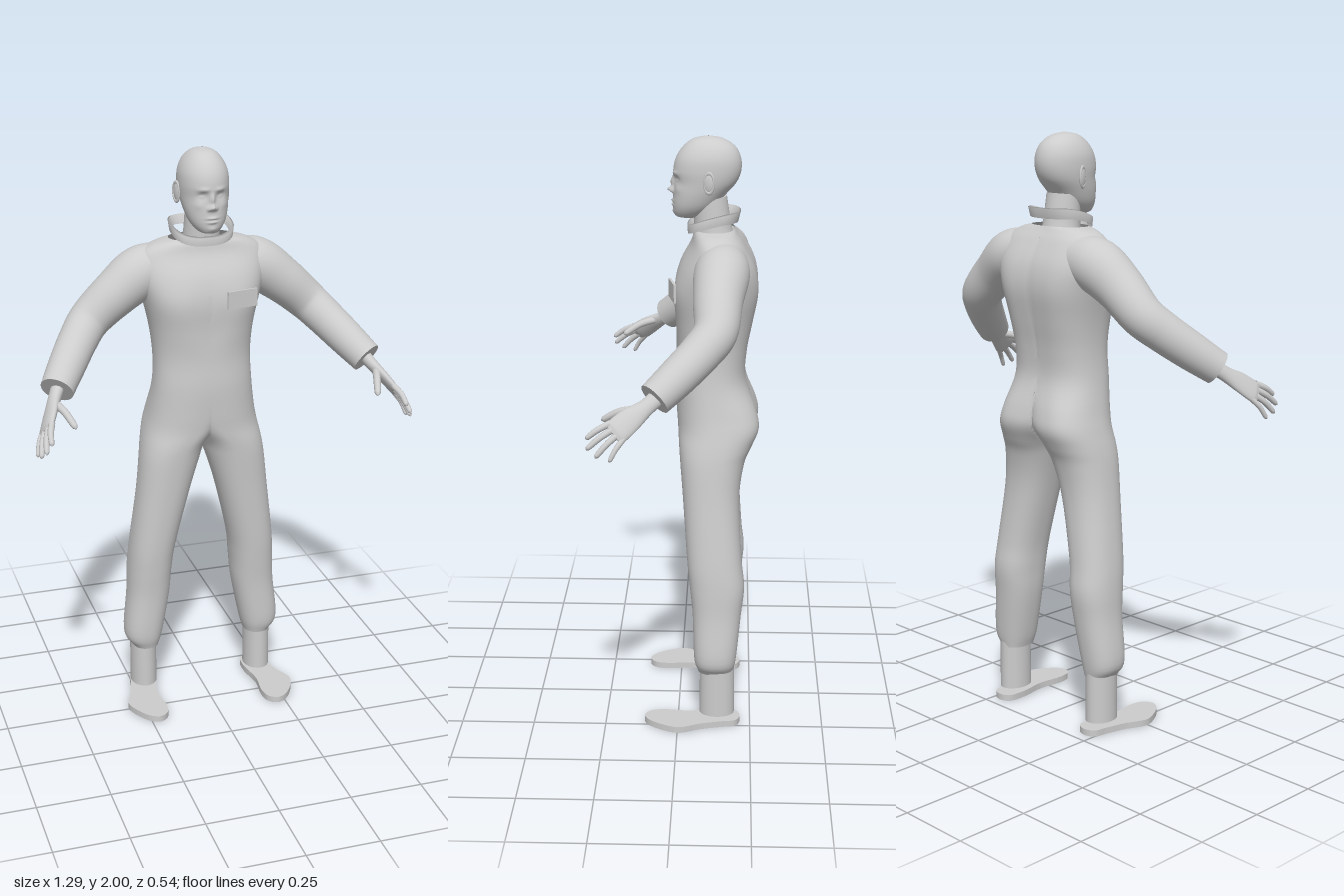
import * as THREE from 'three';

const grey = new THREE.MeshStandardMaterial({ color: 0xcccccc, side: THREE.DoubleSide });
grey.name = 'light grey';

// Smoothly resample a short table of section rows
function resample(rows, steps) {
  const size = rows[0].length;
  const spline = new THREE.CubicInterpolant(rows.map((_, i) => i), rows.flat(), size, new Float32Array(size));
  const out = [];
  const n = (rows.length - 1) * steps;
  for (let i = 0; i <= n; i++) out.push(Array.from(spline.evaluate(i / steps)));
  return out;
}

// Skin a list of closed rings of points
function loft(rings) {
  const n = rings[0].length, pos = [], index = [];
  rings.forEach((ring) => ring.forEach((p) => pos.push(p.x, p.y, p.z)));
  for (let i = 0; i < rings.length - 1; i++) {
    for (let j = 0; j < n; j++) {
      const a = i * n + j, b = i * n + (j + 1) % n, c = a + n, d = b + n;
      index.push(a, c, b, b, c, d);
    }
  }
  const g = new THREE.BufferGeometry();
  g.setAttribute('position', new THREE.Float32BufferAttribute(pos, 3));
  g.setIndex(index);
  g.computeVertexNormals();
  return g;
}

const power = (v, p) => Math.sign(v) * Math.abs(v) ** p;

function ringOf(n, fn) {
  return Array.from({ length: n }, (_, j) => {
    const t = (j / n) * Math.PI * 2;
    return fn(Math.cos(t), Math.sin(t));
  });
}

// Limb along a curve; each row is x, y, z, radius along the side vector, radius across it
function limb(rows, side, n = 16, steps = 6, closed = true) {
  const curve = new THREE.CatmullRomCurve3(rows.map((r) => new THREE.Vector3(r[0], r[1], r[2])));
  const radii = resample(rows.map((r) => [r[3], r[4] ?? r[3]]), steps);
  const rings = radii.map(([a, b], i) => {
    const t = i / (radii.length - 1);
    const T = curve.getTangent(t), c = curve.getPoint(t);
    const U = side.clone().addScaledVector(T, -T.dot(side)).normalize();
    const V = U.clone().cross(T);
    return ringOf(n, (cs, sn) => c.clone().addScaledVector(U, a * cs).addScaledVector(V, b * sn));
  });
  if (closed) {
    // Doubled rim keeps the flat end crisp
    const last = rings[rings.length - 1], end = curve.getPoint(1);
    rings.push(last.map((p) => p.clone()), last.map(() => end.clone()));
  }
  return loft(rings);
}

function mirrored(geometry) {
  const g = geometry.clone().applyMatrix4(new THREE.Matrix4().makeScale(-1, 1, 1));
  if (!g.index) g.setIndex(Array.from({ length: g.attributes.position.count }, (_, i) => i));
  const ix = g.index.array;
  for (let i = 0; i < ix.length; i += 3) [ix[i], ix[i + 1]] = [ix[i + 1], ix[i]];
  return g;
}

// Half of the overall, ankle to neck: y, inner x, outer x, front z, back z, front crest x, back crest x
function overallHalf() {
  const rows = [
    [0.195, 0.165, 0.258, -0.07, -0.19, 0.212, 0.212],
    [0.25, 0.15, 0.286, -0.056, -0.2, 0.218, 0.218],
    [0.4, 0.122, 0.272, -0.05, -0.215, 0.198, 0.198],
    [0.5, 0.113, 0.268, -0.04, -0.225, 0.19, 0.19],
    [0.6, 0.1, 0.26, -0.03, -0.215, 0.18, 0.18],
    [0.8, 0.052, 0.235, -0.015, -0.205, 0.14, 0.14],
    [0.92, 0.016, 0.222, -0.005, -0.22, 0.115, 0.115],
    [0.98, -0.006, 0.213, 0, -0.245, 0.09, 0.1],
    [1.04, -0.05, 0.2, 0.005, -0.268, 0.04, 0.095],
    [1.1, -0.09, 0.187, 0.01, -0.257, 0.02, 0.085],
    [1.2, -0.16, 0.172, 0.015, -0.222, 0, 0.045],
    [1.3, -0.17, 0.168, 0.011, -0.225, 0, 0.05],
    [1.4, -0.17, 0.178, 0.012, -0.243, 0.04, 0.06],
    [1.5, -0.18, 0.2, 0.018, -0.26, 0.06, 0.07],
    [1.58, -0.2, 0.22, 0, -0.25, 0.03, 0.07],
    [1.65, -0.2, 0.215, -0.035, -0.215, 0, 0.06],
    [1.685, -0.16, 0.165, -0.045, -0.19, 0, 0.03],
    [1.7, -0.1, 0.11, -0.05, -0.18, 0, 0],
  ];
  const rings = resample(rows, 5).map(([y, xi, xo, zf, zb, cf, cb]) => ringOf(72, (c, s) => {
    const cx = s > 0 ? cf : cb, mid = (zf + zb) / 2;
    const x = cx + (c > 0 ? xo - cx : cx - xi) * power(c, 0.87);
    return new THREE.Vector3(Math.max(0, x), y, mid + ((zf - zb) / 2) * power(s, 0.87));
  }));
  const g = loft(rings);
  // Keep shading continuous across the centre line
  const p = g.attributes.position, nm = g.attributes.normal;
  for (let i = 0; i < p.count; i++) {
    if (p.getX(i) > 1e-5 || Math.abs(nm.getZ(i)) < 0.01) continue;
    nm.setXYZ(i, 0, nm.getY(i), nm.getZ(i));
  }
  g.normalizeNormals();
  return g;
}

// Head with sculpted face: y, half width, front z, back z
function headGeometry() {
  const rows = [
    [1.731, 0.003, -0.03, -0.04], [1.736, 0.028, 0.008, -0.06], [1.75, 0.046, 0.019, -0.09],
    [1.775, 0.062, 0.023, -0.12], [1.81, 0.073, 0.022, -0.15], [1.85, 0.08, 0.018, -0.185],
    [1.89, 0.083, 0.022, -0.2], [1.93, 0.079, 0.013, -0.198], [1.965, 0.063, -0.01, -0.18],
    [1.99, 0.037, -0.043, -0.142], [2.0, 0.002, -0.09, -0.094],
  ];
  // Face bumps: x, y, spread x, spread y, height
  const bumps = [
    [0, 1.85, 0.008, 0.018, 0.013], [0, 1.825, 0.01, 0.009, 0.02], [0.012, 1.82, 0.006, 0.006, 0.008],
    [0.031, 1.861, 0.014, 0.01, -0.011], [0.031, 1.859, 0.01, 0.006, 0.007], [0.028, 1.882, 0.018, 0.006, 0.005],
    [0.045, 1.83, 0.016, 0.013, 0.004], [0, 1.789, 0.017, 0.004, 0.006], [0, 1.776, 0.015, 0.004, 0.006],
    [0, 1.7825, 0.02, 0.002, -0.004], [0, 1.752, 0.016, 0.009, 0.004],
  ];
  const rings = resample(rows, 9).map(([y, w, zf, zb]) => ringOf(120, (c, s) => {
    const x = w * power(c, 0.95);
    let z = (zf + zb) / 2 + ((zf - zb) / 2) * power(s, 0.95);
    if (s > 0) {
      for (const [bx, by, sx, sy, h] of bumps) {
        z += s * h * Math.exp(-(((Math.abs(x) - bx) / sx) ** 2) - ((y - by) / sy) ** 2);
      }
    }
    return new THREE.Vector3(x, y, z);
  }));
  return loft(rings);
}

// Tilted collar band, higher at the back: half width, front z, back z, front y, back y
function collarGeometry() {
  const rows = [
    [0.104, -0.026, -0.192, 1.685, 1.725], [0.108, -0.024, -0.2, 1.712, 1.757],
    [0.1, -0.032, -0.194, 1.716, 1.76], [0.092, -0.04, -0.182, 1.69, 1.73],
  ];
  return loft(rows.map(([w, zf, zb, yf, yb]) => ringOf(48, (c, s) => {
    const k = (power(s, 0.75) + 1) / 2;
    return new THREE.Vector3(w * power(c, 0.75), yb + (yf - yb) * k + 0.012 * c * c, zb + (zf - zb) * k);
  })));
}

function soleGeometry() {
  const outline = [[0.22, 0.115], [0.255, 0.1], [0.3, 0.03], [0.308, -0.01], [0.28, -0.08], [0.262, -0.15], [0.25, -0.2],
    [0.215, -0.215], [0.18, -0.2], [0.173, -0.14], [0.188, -0.04], [0.18, 0.05], [0.19, 0.095]];
  const curve = new THREE.CatmullRomCurve3(outline.map(([x, z]) => new THREE.Vector3(x, z, 0)), true);
  const shape = new THREE.Shape(curve.getPoints(60).slice(0, -1).map((p) => new THREE.Vector2(p.x, p.y)));
  return new THREE.ExtrudeGeometry(shape, { depth: 0.022, bevelEnabled: false }).rotateX(Math.PI / 2).translate(0, 0.022, 0);
}

export function createModel() {
  const model = new THREE.Group();
  model.name = 'standing man';
  const add = (name, geometry) => {
    const mesh = new THREE.Mesh(geometry, grey);
    mesh.name = name;
    model.add(mesh);
  };
  const pair = (name, geometry) => {
    add(name + 'Left', geometry);
    add(name + 'Right', mirrored(geometry));
  };

  // Head, neck and collar
  add('head', headGeometry());
  const forward = new THREE.Vector3(0, 0, 1);
  add('neck', limb([[0, 1.64, -0.115, 0.07, 0.075], [0, 1.7, -0.108, 0.062, 0.062], [0, 1.8, -0.098, 0.056, 0.056]], forward, 32));
  add('collar', collarGeometry());
  pair('ear', new THREE.SphereGeometry(1, 20, 14).scale(0.008, 0.032, 0.018).rotateY(-0.3).translate(0.085, 1.858, -0.095));
  pair('earRim', new THREE.TorusGeometry(0.02, 0.004, 8, 24).scale(0.85, 1.6, 1).rotateY(Math.PI / 2 - 0.35).translate(0.088, 1.858, -0.096));

  // Overall, sleeves and chest pocket
  pair('overall', overallHalf());
  pair('sleeve', limb([
    [0.12, 1.6, -0.145, 0.08], [0.2, 1.583, -0.14, 0.09], [0.29, 1.523, -0.13, 0.08], [0.385, 1.44, -0.122, 0.07],
    [0.432, 1.392, -0.08, 0.066], [0.49, 1.328, -0.008, 0.062], [0.54, 1.272, 0.06, 0.056],
  ], new THREE.Vector3(0.65, 0.76, 0), 40));
  add('chestPocket', new THREE.BoxGeometry(0.11, 0.06, 0.008).rotateY(0.2).translate(0.104, 1.51, 0.022));

  // Hands: palm, four fingers and thumb
  const across = new THREE.Vector3(0.333, -0.619, -0.714);
  pair('palm', limb([
    [0.535, 1.278, 0.05, 0.028, 0.022], [0.555, 1.25, 0.085, 0.027, 0.02], [0.578, 1.22, 0.13, 0.038, 0.017],
    [0.6, 1.188, 0.172, 0.041, 0.014], [0.606, 1.18, 0.184, 0.034, 0.008],
  ], across, 24));
  const tips = [[0.605, 1.163, 0.268], [0.622, 1.134, 0.266], [0.634, 1.112, 0.238], [0.638, 1.1, 0.195]];
  const knuckle = new THREE.Vector3(0.598, 1.19, 0.17);
  const digit = (name, start, middle, end, r) => {
    const nearTip = middle.clone().lerp(end, 0.85);
    pair(name, limb([[...start, r * 1.1], [...middle, r], [...nearTip, r * 0.8], [...end, r * 0.15]], across, 12));
  };
  tips.forEach((tip, i) => {
    const start = knuckle.clone().addScaledVector(across, -0.031 + i * 0.0207);
    const end = new THREE.Vector3(...tip);
    const middle = start.clone().lerp(end, 0.5).add(new THREE.Vector3(0.004, 0.004, 0.002));
    digit('finger' + (i + 1), start, middle, end, i === 3 ? 0.0085 : 0.01);
  });
  digit('thumb', new THREE.Vector3(0.56, 1.245, 0.1), new THREE.Vector3(0.537, 1.23, 0.165), new THREE.Vector3(0.516, 1.195, 0.226), 0.0125);

  // Ankles and flat soles
  pair('ankle', new THREE.CylinderGeometry(0.046, 0.047, 0.18, 32).scale(1, 1, 1.28).translate(0.217, 0.13, -0.135));
  pair('sole', soleGeometry());
  return model;
}
